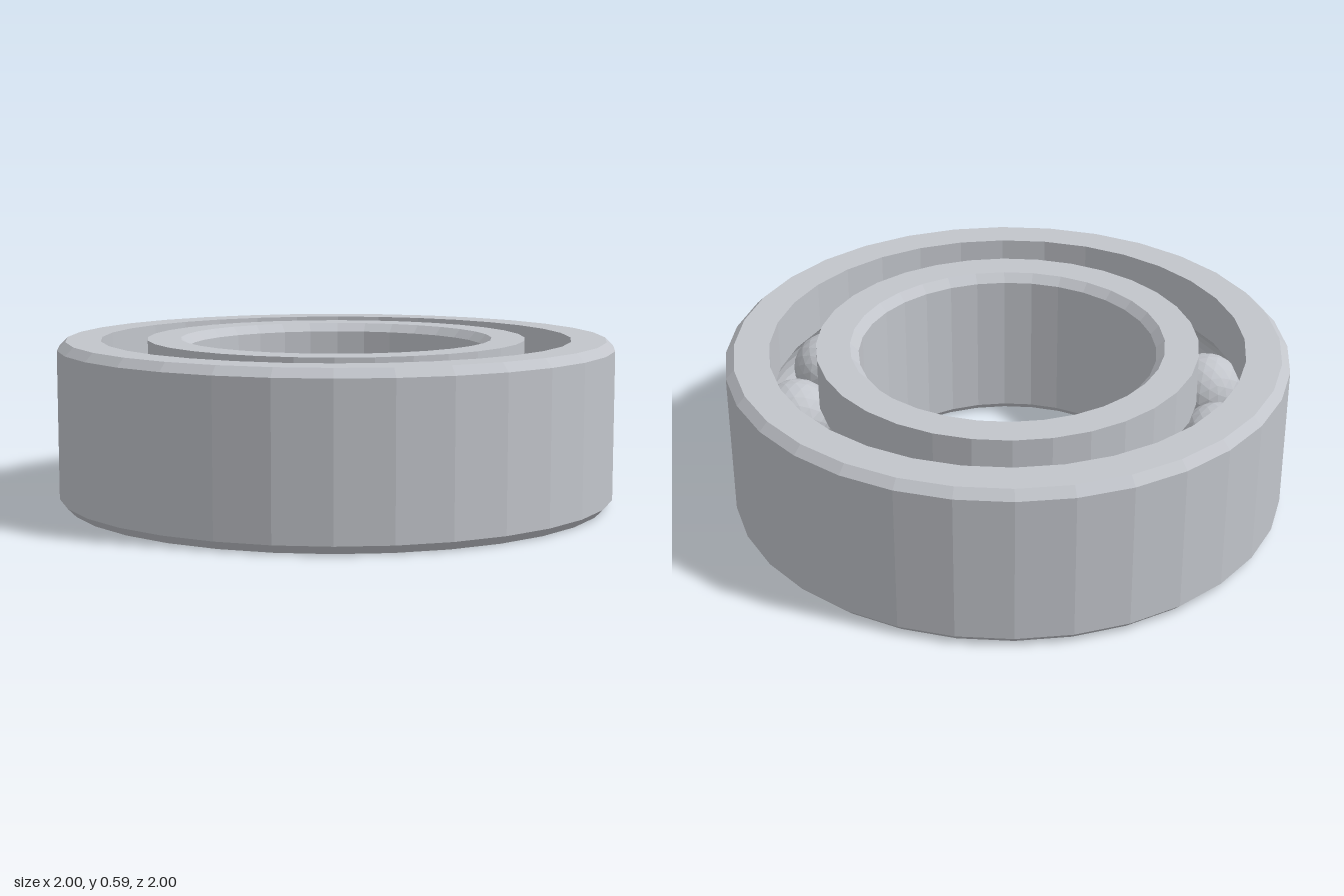
import * as THREE from 'three';

const HEIGHT = 0.59;
const MID = HEIGHT / 2;
const BEVEL = 0.03;
const PITCH = 0.7625; // radius of the circle of ball centres
const LAND = 0.0825; // distance from the pitch circle to each ring's shoulder
const BALL = 0.13;
const GROOVE = 0.135;
const SIDES = 32;
const BALLS = 13;

// Race groove as a circular arc around the ball centre, from one angle to another
function grooveArc(from, to, steps = 8) {
  const points = [];
  for (let i = 0; i <= steps; i++) {
    const a = from + ((to - from) * i) / steps;
    points.push([PITCH + GROOVE * Math.cos(a), MID + GROOVE * Math.sin(a)]);
  }
  return points;
}

// Ring turned from a closed profile, listed counter-clockwise
function ring(name, profile, material) {
  const points = [...profile, profile[0]].map(([r, y]) => new THREE.Vector2(r, y));
  const mesh = new THREE.Mesh(new THREE.LatheGeometry(points, SIDES), material);
  mesh.name = name;
  return mesh;
}

export function createModel() {
  const group = new THREE.Group();
  group.name = 'ballBearing';

  const steel = new THREE.MeshStandardMaterial({ color: 0xc2c5cb, flatShading: true });
  steel.name = 'steel';

  const open = Math.acos(LAND / GROOVE);
  const outerLand = PITCH + LAND;
  const innerLand = PITCH - LAND;

  // Outer ring: bevelled outside, grooved inside
  group.add(ring('outerRing', [
    [1 - BEVEL, 0], [1, BEVEL], [1, HEIGHT - BEVEL], [1 - BEVEL, HEIGHT],
    [outerLand, HEIGHT], ...grooveArc(open, -open), [outerLand, 0],
  ], steel));

  // Inner ring: bevelled bore, grooved outside
  const bore = 0.53;
  group.add(ring('innerRing', [
    [bore + BEVEL, 0], [innerLand, 0],
    ...grooveArc(Math.PI + open, Math.PI - open),
    [innerLand, HEIGHT], [bore + BEVEL, HEIGHT],
    [bore, HEIGHT - BEVEL], [bore, BEVEL],
  ], steel));

  // Balls spaced evenly around the race
  const balls = new THREE.Group();
  balls.name = 'balls';
  const ballGeometry = new THREE.IcosahedronGeometry(BALL, 3);
  for (let i = 0; i < BALLS; i++) {
    const a = (i / BALLS) * Math.PI * 2;
    const ball = new THREE.Mesh(ballGeometry, steel);
    ball.name = 'ball';
    ball.position.set(PITCH * Math.cos(a), MID, PITCH * Math.sin(a));
    ball.rotation.y = -a;
    balls.add(ball);
  }
  group.add(balls);

  return group;
}
